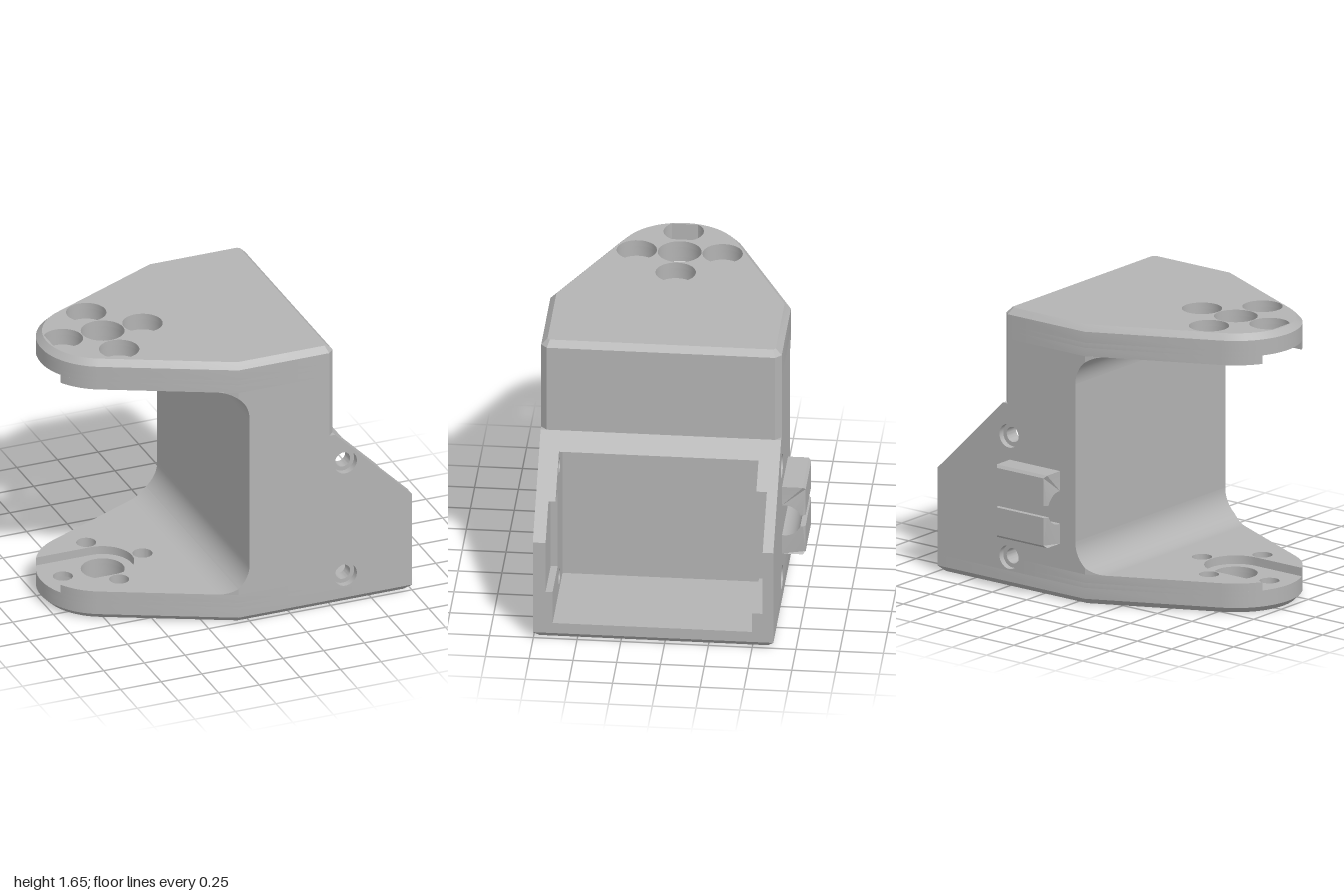
import * as THREE from 'three';
import { toCreasedNormals } from 'three/addons/utils/BufferGeometryUtils.js';

const H = 1.655, ZC = 0.066, HALF = 0.687;      // height, middle of the body in z, half width
const Z0 = ZC - HALF, Z1 = ZC + HALF;
const NX = -0.62, NR = 0.38, TANGENT = 2.019;   // nose centre, radius and angle where the taper starts
const CH = 0.035;                               // edge chamfer
const V = (x, y) => new THREE.Vector2(x, y);

function arc(cx, cy, r, a0, a1, n) {
  const pts = [];
  for (let k = 0; k <= n; k++) {
    const a = a0 + (a1 - a0) * k / n;
    pts.push(V(cx + r * Math.cos(a), cy + r * Math.sin(a)));
  }
  return pts;
}

function circle(x, y, r, minX = -9) {
  const pts = arc(x, y, r, 0, Math.PI * 2, 36).slice(0, -1);
  pts.forEach(p => { p.x = Math.max(p.x, minX); });
  return pts;
}

function extrude(pts, depth, holes = []) {
  const shape = new THREE.Shape(pts);
  holes.forEach(h => shape.holes.push(new THREE.Path(h)));
  return new THREE.ExtrudeGeometry(shape, { depth, bevelEnabled: false });
}

// Outline seen from above: round nose, taper, straight body ending at xEnd
function plan(xEnd, inset = 0, c = 0, groove = false) {
  const h = HALF - inset, r = NR - inset;
  const cx = NX + (h * Math.sin(TANGENT) - r) / -Math.cos(TANGENT);
  const k = c ? c - 0.586 * inset : 0;
  const pts = [V(cx, ZC - h), V(xEnd - inset - k, ZC - h)];
  if (k) pts.push(V(xEnd - inset, ZC - h + k), V(xEnd - inset, ZC + h - k));
  pts.push(V(xEnd - inset - k, ZC + h), V(cx, ZC + h));
  if (groove) {
    const g = Math.PI - Math.asin(0.18 / r);
    pts.push(...arc(NX, ZC, r, TANGENT, g, 8));
    pts.push(...arc(NX, ZC, 0.18, Math.PI / 2, -Math.PI / 2, 20));
    pts.push(...arc(NX, ZC, r, Math.PI * 2 - g, Math.PI * 2 - TANGENT, 8));
  } else {
    pts.push(...arc(NX, ZC, r, TANGENT, Math.PI * 2 - TANGENT, 28));
  }
  return pts;
}

// Four screw holes around a central bore
function hornHoles(r, inGroove = false) {
  const holes = [circle(NX + 0.245, ZC, r), circle(NX, ZC - 0.245, r), circle(NX, ZC + 0.245, r)];
  if (!inGroove) holes.push(circle(NX - 0.245, ZC, r, -0.95), circle(NX, ZC, 0.125));
  return holes;
}

export function createModel() {
  const group = new THREE.Group();
  const grey = new THREE.MeshStandardMaterial({ color: 0xb3b3b3 });
  grey.name = 'grey plastic';

  function add(name, geo) {
    const mesh = new THREE.Mesh(toCreasedNormals(geo, 0.5), grey);
    mesh.name = name;
    group.add(mesh);
  }

  // Horizontal layer between two heights
  function layer(name, pts, y0, y1, holes) {
    add(name, extrude(pts, y1 - y0, holes).rotateX(Math.PI / 2).translate(0, y1, 0));
  }

  // Upright slab between two z positions
  function slab(name, pts, z0, z1, holes) {
    add(name, extrude(pts, z1 - z0, holes).translate(0, 0, z0));
  }

  // Chamfered outer skin of an arm: the inner end widens to the full outline
  function chamferLayer(name, xEnd, c, atTop) {
    const small = plan(xEnd, CH, c), full = plan(xEnd, 0, c);
    const geo = extrude(small, CH, hornHoles(0.115));
    const p = geo.attributes.position;
    for (let i = 0; i < p.count; i++) {
      if ((p.getZ(i) > CH / 2) !== atTop) continue;
      const k = small.findIndex(q => Math.hypot(q.x - p.getX(i), q.y - p.getY(i)) < 1e-5);
      if (k >= 0) p.setXY(i, full[k].x, full[k].y);
    }
    add(name, geo.rotateX(Math.PI / 2).translate(0, atTop ? H : CH, 0));
  }

  // Lower arm and floor
  chamferLayer('lowerArmChamfer', 1, 0, false);
  layer('lowerArmCounterbores', plan(1), CH, 0.1, hornHoles(0.115));
  layer('lowerArmWeb', plan(0.4), 0.1, 0.13, hornHoles(0.057));
  layer('lowerArmGroove', plan(0.4, 0, 0, true), 0.13, 0.18, hornHoles(0.057, true));

  // Upper arm
  chamferLayer('upperArmChamfer', 0.525, CH, true);
  layer('upperArmCounterbores', plan(0.525, 0, CH), H - 0.1, H - CH, hornHoles(0.115));
  layer('upperArmWeb', plan(0.525, 0, CH), H - 0.13, H - 0.1, hornHoles(0.057));
  layer('upperArmGroove', plan(0.525, 0, CH, true), H - 0.18, H - 0.13, hornHoles(0.057, true));

  // Column joining the arms
  slab('column', [V(0, 0.18), V(0.4, 0.18), V(0.4, 1.09), V(0, 1.09)], Z0, Z1);
  layer('upperBlock', [V(0, Z0), V(0.525 - CH, Z0), V(0.525, Z0 + CH), V(0.525, Z1 - CH),
    V(0.525 - CH, Z1), V(0, Z1)], 1.09, H - 0.18);

  // Rounded inner corners, narrowed to follow the tapered outline
  const R = 0.18, split = Math.asin((R - 0.07) / R);
  for (const top of [false, true]) {
    for (const [a0, a1] of [[0, split], [split, Math.PI / 2]]) {
      const pts = arc(-R, 2 * R, R, a0 - Math.PI / 2, a1 - Math.PI / 2, 9);
      pts.push(V(pts[9].x, R));
      if (a0 > 0) pts.push(V(pts[0].x, R));
      if (top) pts.forEach(p => { p.y = H - p.y; });
      const geo = extrude(pts, 2).translate(0, 0, -1);
      const p = geo.attributes.position;
      for (let i = 0; i < p.count; i++) {
        const w = HALF + Math.min(0, p.getX(i) + 0.07) * 0.4825;
        p.setZ(i, ZC + Math.sign(p.getZ(i)) * w);
      }
      add(top ? 'upperFillet' : 'lowerFillet', geo);
    }
  }

  // Pocket side walls: counterbored skin, plain web, then a slotted liner
  const wall = [V(0.4, 0.1), V(1, 0.1), V(1, 0.615), V(0.525, 1.09), V(0.4, 1.09)];
  const slotted = (x, y0, y1) => [V(0.4, 0.1), V(1, 0.1), V(1, y0), V(x, y0), V(x, y1),
    V(1.615 - y1, y1), V(0.525, 1.09), V(0.4, 1.09)];
  const screws = (x, r) => [circle(x, 0.18, r), circle(x, 0.9, r)];
  slab('frontWallSkin', wall, Z1 - 0.04, Z1, screws(0.59, 0.07));
  slab('frontWallWeb', wall, 0.68, Z1 - 0.04, screws(0.59, 0.045));
  slab('frontWallLiner', slotted(0.69, 0.3, 0.79), 0.64, 0.68, screws(0.59, 0.045));
  slab('backWallSkin', wall, Z0, Z0 + 0.035, screws(0.48, 0.07));
  slab('backWallWeb', wall, Z0 + 0.035, -0.56, screws(0.48, 0.045));
  slab('backWallLiner', slotted(0.58, 0.22, 0.87), -0.56, -0.5, screws(0.48, 0.045));
  slab('pocketLintel', [V(0.4, 1), V(0.615, 1), V(0.525, 1.09), V(0.4, 1.09)], -0.5, 0.64);

  // Cable clip on the back: two mirrored jaws with eased outer edges
  const length = 0.365;
  for (const s of [1, -1]) {
    const jaw = arc(0.635, 0, 0.097, 1.72, 0.37, 12);
    jaw.push(V(0.74, 0.035), V(0.755, 0.035), V(0.755, 0.2), V(0.74, 0.215), V(0.62, 0.215));
    jaw.forEach(p => { p.y = 0.545 + s * p.y; });
    const geo = extrude(jaw, length);
    const p = geo.attributes.position;
    for (let i = 0; i < p.count; i++) {
      if (p.getX(i) > 0.75) p.setZ(i, p.getZ(i) > 0.1 ? length - 0.015 : 0.015);
    }
    add(s > 0 ? 'upperClipJaw' : 'lowerClipJaw', geo.rotateY(Math.PI / 2).translate(0.11, 0, 0));
  }
  return group;
}
